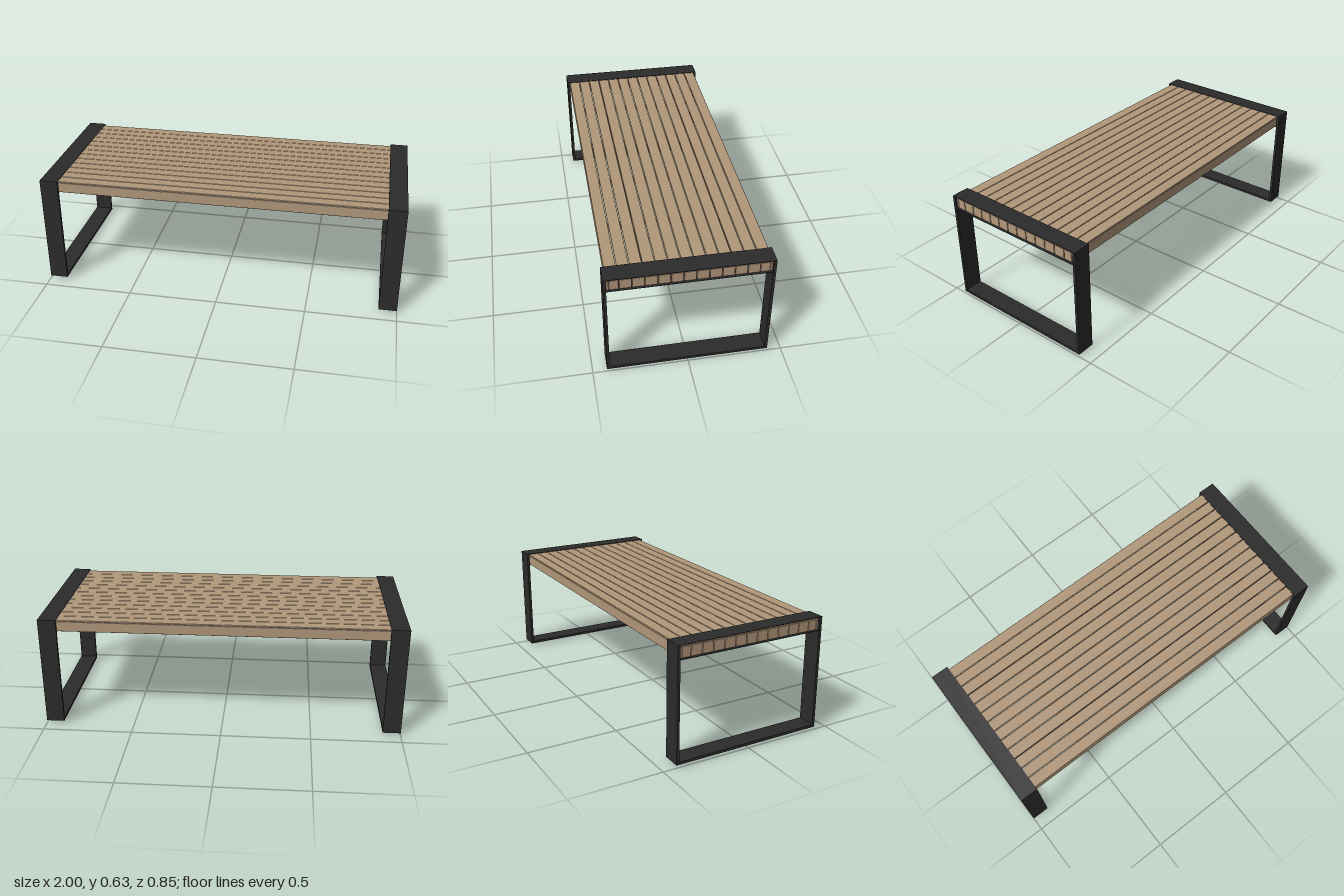
import * as THREE from 'three';
import { RoundedBoxGeometry } from 'three/addons/geometries/RoundedBoxGeometry.js';

export function createModel() {
  const model = new THREE.Group();
  model.name = 'slattedBench';

  const wood = new THREE.MeshStandardMaterial({ color: 0xb1977a });
  wood.name = 'wood';
  const steel = new THREE.MeshStandardMaterial({ color: 0x2b2b2c });
  steel.name = 'darkSteel';

  const add = (name, geometry, material, x, y, z) => {
    const mesh = new THREE.Mesh(geometry, material);
    mesh.name = name;
    mesh.position.set(x, y, z);
    model.add(mesh);
    return mesh;
  };
  // Board with softly rounded edges
  const board = (w, h, d) => new RoundedBoxGeometry(w, h, d, 2, 0.003);
  const rect = (path, z, y0, y1) => {
    path.moveTo(-z, y0);
    path.lineTo(z, y0);
    path.lineTo(z, y1);
    path.lineTo(-z, y1);
    path.closePath();
    return path;
  };

  // Flat-bar end frame: leg opening below, slat pocket above
  const frameShape = rect(new THREE.Shape(), 0.426, 0.015, 0.635);
  frameShape.holes.push(rect(new THREE.Path(), 0.411, 0.03, 0.56));
  frameShape.holes.push(rect(new THREE.Path(), 0.411, 0.563, 0.632));
  const frameGeometry = new THREE.ExtrudeGeometry(frameShape, { depth: 0.1, bevelEnabled: false });
  frameGeometry.translate(0, 0, -0.05);
  frameGeometry.rotateY(Math.PI / 2);
  const footGeometry = new THREE.CylinderGeometry(0.019, 0.01, 0.015, 20);

  for (const side of [-1, 1]) {
    add('endFrame', frameGeometry, steel, side * 0.95, 0, 0);
    for (const end of [-1, 1]) {
      add('foot', footGeometry, steel, side * 0.95, 0.0075, end * 0.38);
    }
  }

  // Top slats, each with a short board closing its end
  const count = 13;
  const pitch = 0.0633;
  const slatGeometry = board(1.984, 0.009, 0.0605);
  const endGeometry = board(0.011, 0.057, 0.0605);
  const narrowEndGeometry = board(0.011, 0.057, 0.0465);
  for (let i = 0; i < count; i++) {
    const z = (i - (count - 1) / 2) * pitch;
    const outer = i === 0 || i === count - 1;
    add('topSlat', slatGeometry, wood, 0, 0.6265, z);
    for (const side of [-1, 1]) {
      add('endBoard', outer ? narrowEndGeometry : endGeometry, wood,
        side * 0.9865, 0.5935, outer ? z - Math.sign(z) * 0.007 : z);
    }
  }

  // Long side aprons and the steel rails under the seat
  const apronGeometry = board(1.984, 0.057, 0.012);
  const railGeometry = new THREE.BoxGeometry(1.95, 0.025, 0.045);
  for (const side of [-1, 1]) {
    add('sideApron', apronGeometry, wood, 0, 0.5935, side * 0.4035);
    add('seatRail', railGeometry, steel, 0, 0.5765, side * 0.23);
  }

  // Cross battens joining the slats
  const battenGeometry = new THREE.BoxGeometry(0.02, 0.033, 0.78);
  for (const x of [-0.57, -0.19, 0.19, 0.57]) {
    add('crossBatten', battenGeometry, wood, x, 0.6055, 0);
  }

  return model;
}
